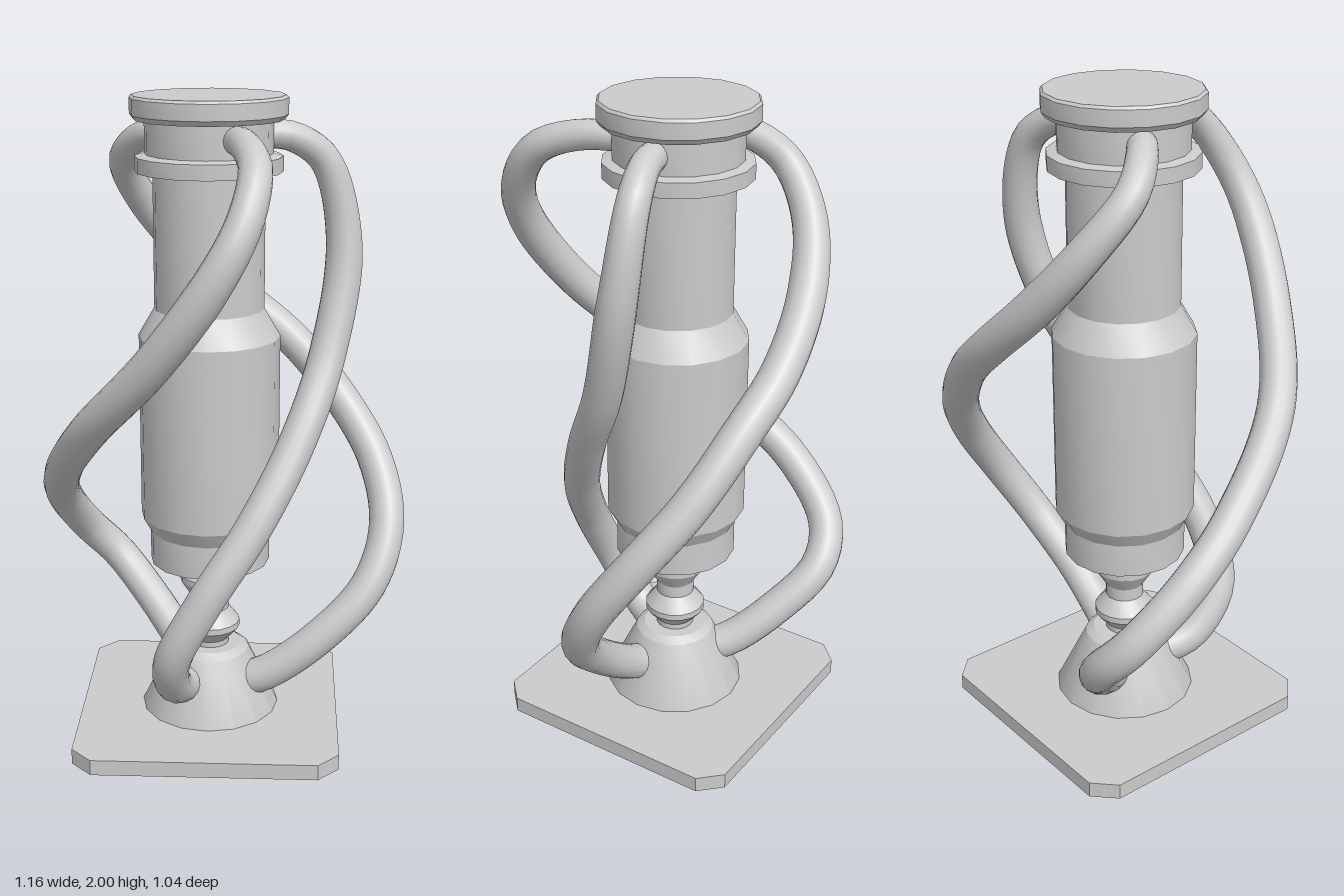
import * as THREE from 'three';
import { toCreasedNormals } from 'three/addons/utils/BufferGeometryUtils.js';

const AXIS = [-0.045, -0.058]; // x, z of the column

export function createModel() {
  const model = new THREE.Group();
  const material = new THREE.MeshStandardMaterial({ color: 0xcccccc });

  const add = (name, geometry) => {
    const mesh = new THREE.Mesh(geometry, material);
    mesh.name = name;
    model.add(mesh);
    return mesh;
  };

  // Turned part from [radius, y] pairs, listed bottom to top
  const turned = (name, profile) => {
    const points = profile.map(([r, y]) => new THREE.Vector2(r, y));
    const mesh = add(name, toCreasedNormals(new THREE.LatheGeometry(points, 16), 0.45));
    mesh.position.set(AXIS[0], 0, AXIS[1]);
  };

  // Square base plate with cut corners
  const h = 0.412, c = h - 0.065;
  const plate = new THREE.Shape([
    [h, -c], [h, c], [c, h], [-c, h], [-h, c], [-h, -c], [-c, -h], [c, -h],
  ].map(([x, y]) => new THREE.Vector2(x, y)));
  const base = add('basePlate', new THREE.ExtrudeGeometry(plate, { depth: 0.05, bevelEnabled: false })
    .rotateX(-Math.PI / 2));
  base.position.set(AXIS[0], 0, AXIS[1]);

  // Column, from the foot up
  turned('footCone', [[0, 0.04], [0.22, 0.04], [0.22, 0.05], [0.125, 0.245], [0.1, 0.262], [0, 0.262]]);
  turned('bellows', [
    [0.06, 0.25], [0.06, 0.28], [0.095, 0.32], [0.095, 0.34], [0.06, 0.385],
    [0.06, 0.425], [0.095, 0.48], [0.095, 0.5], [0.06, 0.54], [0.06, 0.57],
  ]);
  turned('body', [
    [0, 0.555], [0.188, 0.555], [0.188, 0.66], [0.216, 0.71], [0.216, 1.285],
    [0.167, 1.37], [0.167, 1.8],
  ]);
  turned('collar', [[0.16, 1.78], [0.22, 1.78], [0.22, 1.825], [0.19, 1.832], [0.19, 1.94]]);
  turned('topCap', [
    [0, 1.93], [0.222, 1.93], [0.233, 1.945], [0.233, 1.992], [0.226, 2], [0, 2],
  ]);

  // Cables winding from the collar down to the foot, slimmer at the top
  const cable = (name, path) => {
    const curve = new THREE.CatmullRomCurve3(path.map((p) => new THREE.Vector3(...p)), false, 'centripetal');
    const steps = 72, sides = 16;
    const geometry = new THREE.TubeGeometry(curve, steps, 0.057, sides);
    const pos = geometry.attributes.position;
    const v = new THREE.Vector3();
    for (let i = 0; i <= steps; i++) {
      const centre = curve.getPointAt(i / steps);
      const scale = 0.72 + 0.28 * Math.min(1, (i / steps) / 0.25);
      for (let j = 0; j <= sides; j++) {
        const k = i * (sides + 1) + j;
        v.fromBufferAttribute(pos, k).sub(centre).multiplyScalar(scale).add(centre);
        pos.setXYZ(k, v.x, v.y, v.z);
      }
    }
    geometry.computeBoundingSphere();
    add(name, geometry);
  };

  cable('leftCable', [
    [0.1, 1.885, -0.085], [0.2, 1.875, -0.11], [0.3, 1.8, -0.14], [0.36, 1.55, -0.13],
    [0.315, 1.235, -0.045], [0.23, 1.0, 0.08], [0.1, 0.76, 0.2], [-0.045, 0.54, 0.265],
    [-0.145, 0.34, 0.25], [-0.145, 0.2, 0.14], [-0.11, 0.16, 0.04],
  ]);
  cable('frontCable', [
    [0.03, 1.885, 0.06], [0.07, 1.88, 0.2], [0.1, 1.83, 0.33], [0.07, 1.7, 0.43],
    [-0.01, 1.55, 0.465], [-0.18, 1.31, 0.41], [-0.38, 1.07, 0.25], [-0.505, 0.84, -0.03],
    [-0.525, 0.69, -0.22], [-0.47, 0.53, -0.375], [-0.375, 0.42, -0.405],
    [-0.25, 0.29, -0.32], [-0.14, 0.18, -0.2], [-0.08, 0.15, -0.1],
  ]);
  cable('backCable', [
    [-0.15, 1.885, -0.09], [-0.24, 1.875, -0.15], [-0.315, 1.79, -0.25], [-0.27, 1.65, -0.36],
    [-0.14, 1.48, -0.435], [0.05, 1.31, -0.465], [0.21, 1.18, -0.44], [0.37, 1.0, -0.375],
    [0.485, 0.82, -0.265], [0.52, 0.64, -0.145], [0.46, 0.466, -0.05], [0.3, 0.3, 0],
    [0.14, 0.18, 0], [0.05, 0.14, -0.02],
  ]);

  return model;
}
